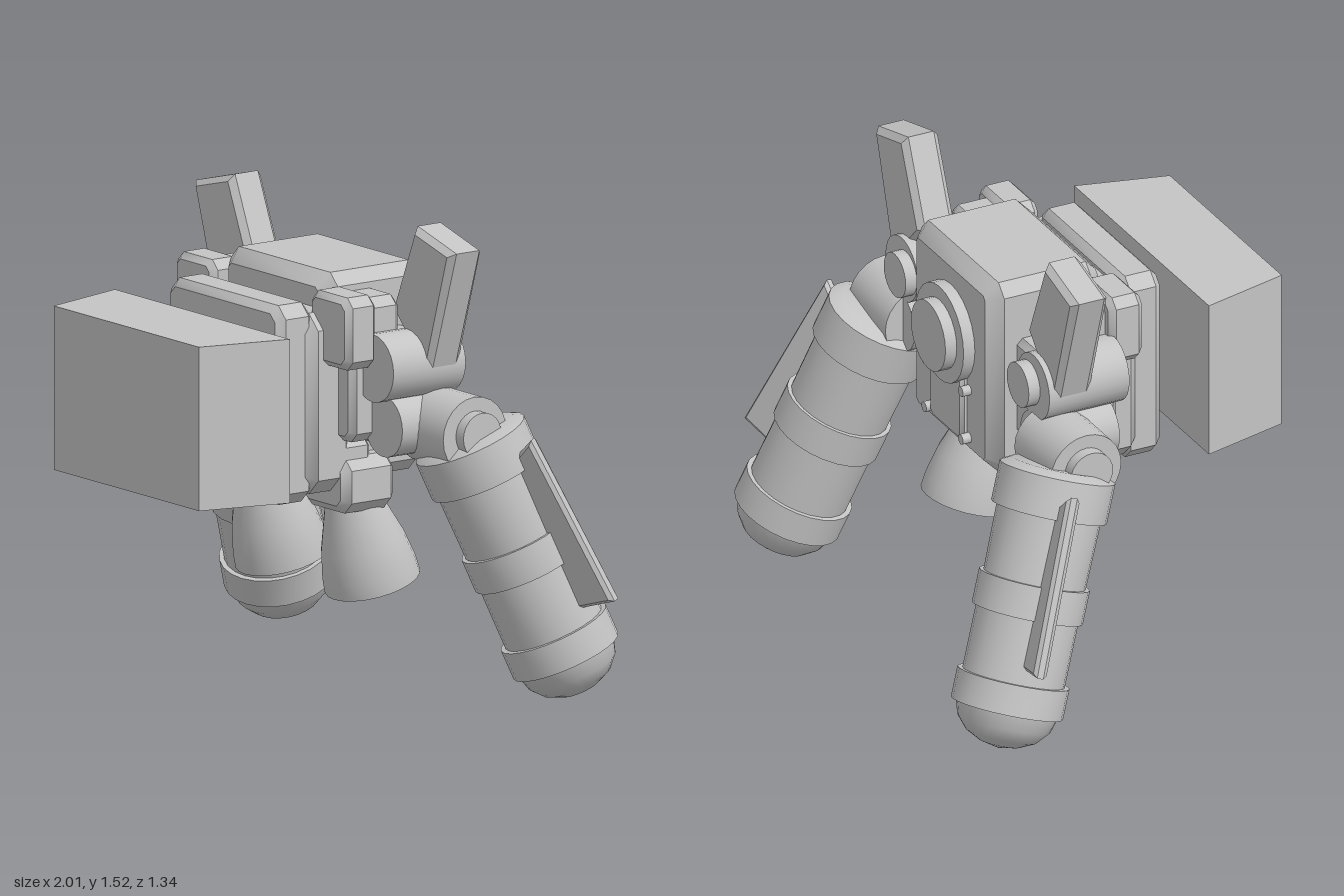
import * as THREE from 'three';
import { toCreasedNormals } from 'three/addons/utils/BufferGeometryUtils.js';

const grey = new THREE.MeshStandardMaterial({ color: 0xc4c4c4 });
grey.name = 'light grey';

// Prism along z from a front outline, with chamfered edges
function prism(points, z0, z1, bevel = 0) {
  const shape = new THREE.Shape(points.map(p => new THREE.Vector2(...p)));
  const g = new THREE.ExtrudeGeometry(shape, {
    depth: z1 - z0 - 2 * bevel, bevelEnabled: bevel > 0, bevelSegments: 1,
    bevelSize: bevel, bevelThickness: bevel, bevelOffset: -bevel,
  });
  g.translate(0, 0, z0 + bevel);
  return g;
}

// Chamfered box from its limits; c cuts the corners of the front outline
function block(x0, x1, y0, y1, z0, z1, bevel = 0.02, c = bevel * 1.5) {
  return prism([[x0 + c, y0], [x1 - c, y0], [x1, y0 + c], [x1, y1 - c],
    [x1 - c, y1], [x0 + c, y1], [x0, y1 - c], [x0, y0 + c]], z0, z1, bevel);
}

// Cylinder lying along x or z between two limits
function rod(axis, r, a, b, u, v) {
  const g = new THREE.CylinderGeometry(r, r, b - a, 24);
  if (axis === 'z') return g.rotateX(Math.PI / 2).translate(u, v, (a + b) / 2);
  return g.rotateZ(Math.PI / 2).translate((a + b) / 2, u, v);
}

function lathe(points, sides = 24) {
  return new THREE.LatheGeometry(points.map(p => new THREE.Vector2(...p)), sides);
}

// Mirror across x = 0, keeping faces outward
function mirrored(geo) {
  const g = geo.clone().scale(-1, 1, 1);
  for (const key of Object.keys(g.attributes)) {
    const { array, itemSize: n } = g.attributes[key];
    for (let i = 0; i < array.length; i += 3 * n) {
      for (let k = 0; k < n; k++) {
        [array[i + n + k], array[i + 2 * n + k]] = [array[i + 2 * n + k], array[i + n + k]];
      }
    }
  }
  return g;
}

export function createModel() {
  const model = new THREE.Group();
  model.name = 'thrusterBackpack';

  const add = (name, geo, material = grey) => {
    const flat = toCreasedNormals(geo, 0.6);
    const mesh = new THREE.Mesh(flat, material);
    mesh.name = name;
    model.add(mesh);
    return flat;
  };
  const pair = (name, geo, material = grey) => {
    const flat = add(name + 'Left', geo, material);
    const mesh = new THREE.Mesh(mirrored(flat), material);
    mesh.name = name + 'Right';
    model.add(mesh);
  };

  // Separate front block, narrower at its front face
  const front = new THREE.BoxGeometry(0.92, 0.53, 0.3);
  const p = front.attributes.position;
  for (let i = 0; i < p.count; i++) if (p.getZ(i) > 0) p.setX(i, p.getX(i) * 0.83);
  front.computeVertexNormals();
  add('frontBlock', front.translate(0, 0.975, 0.52));

  // Main body and front plates
  add('body', block(-0.28, 0.28, 0.7, 1.375, -0.31, 0.09, 0.045, 0.04));
  add('middlePlate', block(-0.33, 0.33, 0.68, 1.265, 0.02, 0.19, 0.03, 0.05));
  add('chestPlate', block(-0.3, 0.3, 0.655, 1.3, 0.15, 0.29, 0.025, 0.04));

  // Back hatch and its lower panel
  add('hatchRing', rod('z', 0.165, -0.35, -0.28, 0, 1.105));
  add('hatchCap', rod('z', 0.118, -0.39, -0.34, 0, 1.105));
  add('backPanel', block(-0.11, 0.11, 0.76, 1.0, -0.33, -0.28, 0.012));
  for (const y of [0.78, 0.95]) pair('panelBolt', rod('z', 0.017, -0.34, -0.29, 0.125, y));

  // Shoulders
  pair('shoulderCap', block(0.25, 0.46, 1.1, 1.335, 0.02, 0.14, 0.02));
  pair('shoulderTop', block(0.23, 0.42, 1.1, 1.315, -0.1, 0.06, 0.02));
  pair('sidePlate', block(0.27, 0.4, 0.85, 1.25, -0.06, 0.08, 0.02));
  pair('sideMount', block(0.24, 0.44, 0.84, 1.18, -0.22, 0, 0.02));
  pair('upperPivot', rod('z', 0.11, -0.25, 0.035, 0.45, 1.1));
  pair('lowerPivot', rod('z', 0.1, -0.25, 0.0, 0.46, 0.91));
  pair('upperPivotCap', rod('z', 0.075, -0.29, -0.24, 0.42, 1.1));

  // Upper fins
  pair('upperFin', prism([[0.55, 1.07], [0.685, 1.49], [0.48, 1.545], [0.36, 1.26]],
    -0.23, -0.1, 0.02));

  // Elbow joints
  pair('elbow', rod('x', 0.125, 0.44, 0.69, 0.895, -0.188));
  pair('elbowCap', rod('x', 0.075, 0.66, 0.73, 0.9, -0.188));

  // Leg boosters, tilted outward and back
  const up = new THREE.Vector3(-0.22, 1, 0.37).normalize();
  const out = new THREE.Vector3(0.95, 0, -0.3);
  out.addScaledVector(up, -out.dot(up)).normalize();
  const tilt = new THREE.Matrix4()
    .makeBasis(out, up, new THREE.Vector3().crossVectors(out, up))
    .setPosition(0.595, 0.86, -0.24);
  pair('booster', lathe([
    [0, -0.9], [0.065, -0.885], [0.115, -0.86], [0.15, -0.82], [0.165, -0.77],
    [0.181, -0.77], [0.181, -0.67], [0.165, -0.67],
    [0.165, -0.46], [0.179, -0.46], [0.179, -0.35], [0.165, -0.35],
    [0.168, -0.13], [0.187, -0.13], [0.187, 0], [0.15, 0.02], [0, 0.02],
  ]).applyMatrix4(tilt));
  pair('boosterFin', prism([[0.15, -0.62], [0.3, -0.62], [0.25, -0.04], [0.15, -0.09]],
    -0.022, 0.022, 0.012).applyMatrix4(tilt));

  // Nozzle mounts and hollow bells
  pair('nozzleMount', block(0.115, 0.36, 0.61, 0.79, -0.13, 0.075, 0.025));
  pair('nozzleBracket', block(0.14, 0.33, 0.74, 0.86, -0.06, 0.11, 0.025));
  pair('nozzle', lathe([
    [0, 0.08], [0.07, 0.1], [0.11, 0.26], [0.143, 0],
    [0.155, 0], [0.152, 0.05], [0.135, 0.14], [0.11, 0.22], [0.088, 0.29], [0, 0.29],
  ].filter((_, i) => i !== 1 && i !== 2).map(([x, y], i) => (i === 0 ? [0, 0.2] : [x, y])))
    .rotateX(0.28).translate(0.235, 0.355, -0.125));

  return model;
}
